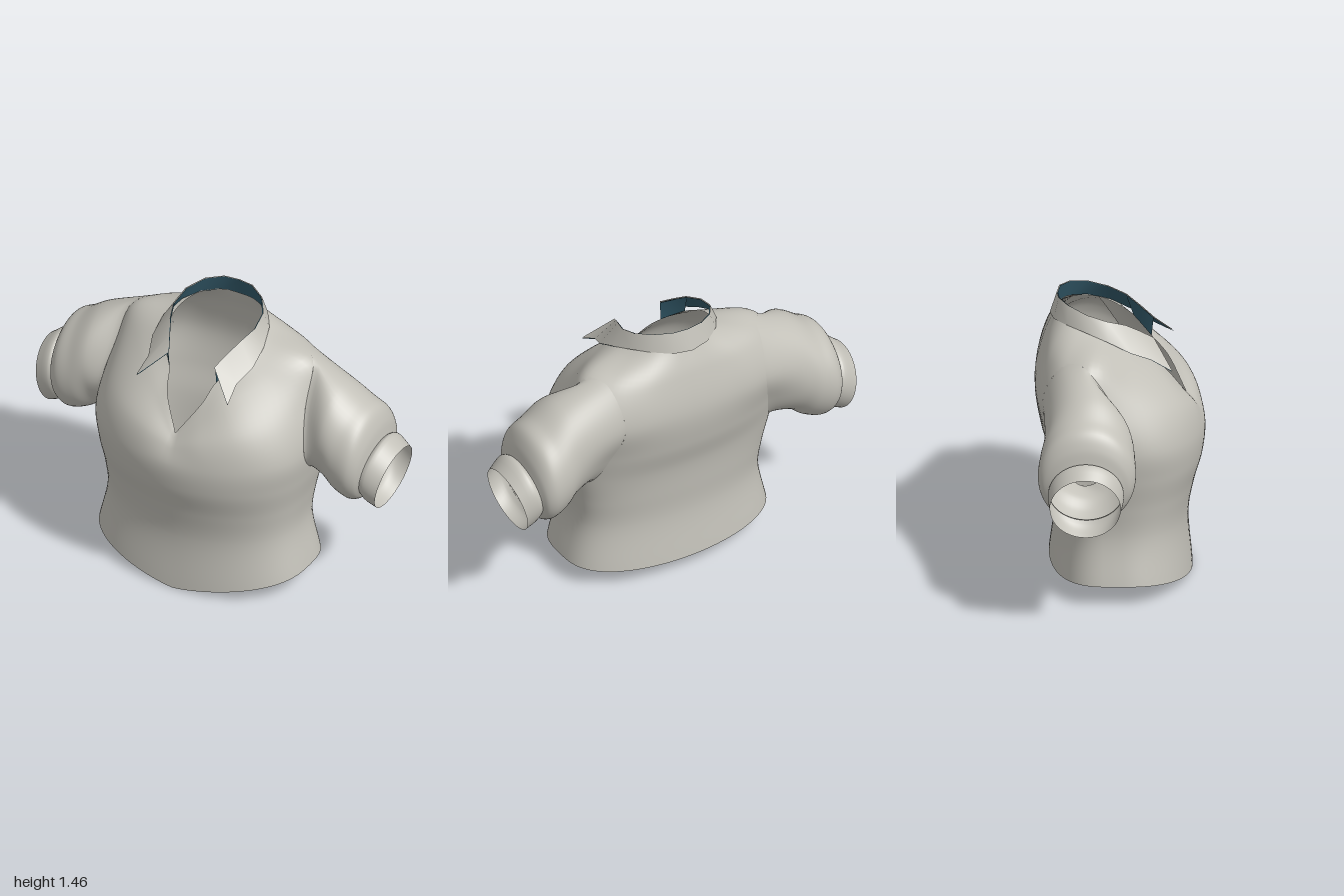
import * as THREE from 'three';

const V = (x, y, z) => new THREE.Vector3(x, y, z);
const spline = (pts) => new THREE.CatmullRomCurve3(pts);

// Surface through rows of points; closed joins the last column to the first
function loft(rows, { closed = true, flip = false, skip = null } = {}) {
  const n = rows[0].length, pos = [], idx = [];
  rows.forEach((r) => r.forEach((p) => pos.push(p.x, p.y, p.z)));
  for (let i = 0; i < rows.length - 1; i++) {
    for (let j = 0; j < (closed ? n : n - 1); j++) {
      const k = (j + 1) % n;
      if (skip && skip(i, j, k)) continue;
      const a = i * n + j, b = i * n + k, c = a + n, d = b + n;
      if (flip) idx.push(a, c, b, b, c, d);
      else idx.push(a, b, c, b, d, c);
    }
  }
  const g = new THREE.BufferGeometry();
  g.setAttribute('position', new THREE.Float32BufferAttribute(pos, 3));
  g.setIndex(idx);
  g.computeVertexNormals();
  return g;
}

// Body ring: half width, y at side / front / back, z at front / back, z at side
function bodyRing(w, ys, yf, yb, zf, zb, c) {
  return (t) => {
    const s = Math.sin(t), k = Math.cos(t), a = Math.abs(s);
    const y = k > 0 ? ys + (yf - ys) * (1 - a ** 1.2) : ys + (yb - ys) * k * k;
    const z = k > 0 ? c + (zf - c) * k ** 0.74 : c - (c - zb) * (-k) ** 0.67;
    return V(w * s, y, z);
  };
}

// Ring from a half outline running front to back, mirrored to the other side
function mirroredRing(pts) {
  const curve = spline(pts.map((p) => V(...p)));
  return (t) => {
    const left = t <= Math.PI;
    const p = curve.getPoint((left ? t : 2 * Math.PI - t) / Math.PI);
    return left ? p : V(-p.x, p.y, p.z);
  };
}

const BODY = [
  bodyRing(0.57, 0.11, 0.0, 0.085, 0.36, -0.35, -0.02),
  bodyRing(0.525, 0.34, 0.3, 0.34, 0.34, -0.32, -0.03),
  bodyRing(0.54, 0.5, 0.48, 0.5, 0.37, -0.33, -0.05),
  bodyRing(0.572, 0.66, 0.64, 0.66, 0.413, -0.35, -0.07),
  bodyRing(0.59, 0.82, 0.78, 0.82, 0.42, -0.395, -0.08),
  // upper chest
  mirroredRing([[0, 0.86, 0.385], [0.16, 0.92, 0.37], [0.34, 0.97, 0.295], [0.49, 1.0, 0.13],
    [0.57, 1.05, -0.13], [0.52, 1.02, -0.32], [0.36, 1.02, -0.39], [0.18, 1.02, -0.413], [0, 1.02, -0.42]]),
  // shoulder line
  mirroredRing([[0, 0.9, 0.35], [0.12, 1.02, 0.285], [0.22, 1.11, 0.21], [0.38, 1.18, 0.05],
    [0.505, 1.243, -0.13], [0.44, 1.23, -0.27], [0.3, 1.22, -0.345], [0.15, 1.22, -0.37], [0, 1.23, -0.375]]),
  // neck edge with the pointed front opening
  mirroredRing([[0, 0.92, 0.33], [0.1, 1.08, 0.235], [0.132, 1.165, 0.155], [0.215, 1.24, 0.065],
    [0.238, 1.315, -0.07], [0.217, 1.345, -0.18], [0.16, 1.365, -0.26], [0.08, 1.367, -0.31], [0, 1.365, -0.32]]),
];
const bodyColumn = (t) => spline(BODY.map((ring) => ring(t)));

// Armhole: an ellipse in angle t round the body and height v along the rings
const HOLE = { t: 1.81, rt: 0.45, v: 4.52, rv: 1.6 };

function torsoGeometry() {
  const cols = 96, steps = 56, top = BODY.length - 1, inside = [];
  const rows = Array.from({ length: steps + 1 }, () => []);
  for (let i = 0; i <= steps; i++) inside.push([]);
  for (let j = 0; j < cols; j++) {
    const t = (j / cols) * Math.PI * 2, centre = t < Math.PI ? HOLE.t : 2 * Math.PI - HOLE.t;
    const column = bodyColumn(t);
    for (let i = 0; i <= steps; i++) {
      const dt = t - centre, dv = (i / steps) * top - HOLE.v;
      const r = Math.hypot(dt / HOLE.rt, dv / HOLE.rv);
      inside[i][j] = r < 1;
      // points in the armhole move out to its rim
      rows[i][j] = r < 1 && r > 0
        ? bodyColumn(centre + dt / r).getPoint((HOLE.v + dv / r) / top)
        : column.getPoint(i / steps);
    }
  }
  const skip = (i, j, k) => inside[i][j] && inside[i][k] && inside[i + 1][j] && inside[i + 1][k];
  return loft(rows, { skip });
}

// Point at angle a round the left armhole; r above 1 lies on the body outside it
function armholePoint(a, r) {
  const v = HOLE.v + HOLE.rv * r * Math.cos(a);
  return bodyColumn(HOLE.t - HOLE.rt * r * Math.sin(a)).getPoint(v / (BODY.length - 1));
}

// Sleeve or cuff from rings: top x, y, bottom x, y, z front, z back.
// A joined tube starts on the armhole rim and leaves the body smoothly.
function tubeGeometry(rings, side, steps, joined) {
  const cols = 56, rows = Array.from({ length: steps + 1 }, () => []);
  for (let j = 0; j < cols; j++) {
    const a = (j / cols) * Math.PI * 2, c = Math.cos(a), s = Math.sin(a);
    const pts = rings.map(([tx, ty, bx, by, zf, zb]) => V(
      (tx + bx) / 2 + (c * (tx - bx)) / 2,
      (ty + by) / 2 + (c * (ty - by)) / 2,
      (zf + zb) / 2 + (s * (zf - zb)) / 2));
    if (joined) pts.unshift(armholePoint(a, 1.1), armholePoint(a, 1));
    const line = spline(pts), start = joined ? 1 / (pts.length - 1) : 0;
    rows.forEach((row, i) => {
      const p = line.getPoint(start + (1 - start) * (i / steps));
      row.push(V(side * p.x, p.y, p.z));
    });
  }
  return loft(rows, { flip: side < 0 });
}

const SLEEVE = [
  [0.68, 1.165, 0.645, 0.625, 0.075, -0.365],
  [0.78, 1.095, 0.71, 0.575, 0.09, -0.385],
  [0.85, 1.05, 0.79, 0.545, 0.09, -0.39],
  [0.885, 0.98, 0.83, 0.56, 0.065, -0.37],
  [0.9, 0.9, 0.85, 0.59, 0.03, -0.335],
];
const CUFF = [
  [0.895, 0.9, 0.845, 0.59, 0.03, -0.335],
  [0.925, 0.915, 0.87, 0.557, 0.035, -0.34],
  [1.0, 0.86, 0.925, 0.525, 0.02, -0.33],
];

// Turned-down collar, from the left tip round the back to the right tip
function collarGeometry(inset) {
  const lower = [[0.26, 1.14, 0.265], [0.25, 1.197, 0.16], [0.285, 1.245, 0.06], [0.285, 1.3, -0.05],
    [0.25, 1.34, -0.17], [0.19, 1.355, -0.26], [0.1, 1.35, -0.325], [0, 1.345, -0.345]];
  const upper = [[0.13, 1.265, 0.17], [0.165, 1.315, 0.1], [0.2, 1.36, 0.03], [0.23, 1.39, -0.06],
    [0.22, 1.42, -0.16], [0.16, 1.445, -0.25], [0.08, 1.455, -0.3], [0, 1.455, -0.31]];
  const both = (pts) => [
    ...pts.map((p) => V(...p)),
    ...pts.slice(0, -1).reverse().map(([x, y, z]) => V(-x, y, z)),
  ];
  const g = loft([both(lower), both(upper)], { closed: false });
  const p = g.attributes.position, n = g.attributes.normal;
  for (let i = 0; i < p.count; i++) {
    p.setXYZ(i, p.getX(i) - n.getX(i) * inset, p.getY(i) - n.getY(i) * inset, p.getZ(i) - n.getZ(i) * inset);
  }
  return g;
}

// Small stand between the neck edge and the front of the collar
function standGeometry(side) {
  const row = (pts) => pts.map(([x, y, z]) => V(side * x, y, z));
  return loft([
    row([[0.132, 1.165, 0.155], [0.172, 1.202, 0.112], [0.215, 1.24, 0.065]]),
    row([[0.133, 1.26, 0.165], [0.168, 1.305, 0.1], [0.205, 1.345, 0.03]]),
  ], { closed: false, flip: side < 0 });
}

export function createModel() {
  const fabric = new THREE.MeshStandardMaterial({ color: 0xc2c0b8, side: THREE.DoubleSide });
  fabric.name = 'fabric';
  const lining = new THREE.MeshStandardMaterial({ color: 0x335a6a, side: THREE.DoubleSide });
  lining.name = 'collarLining';

  const shirt = new THREE.Group();
  shirt.name = 'shirt';
  const add = (name, geometry, material) => {
    const mesh = new THREE.Mesh(geometry, material);
    mesh.name = name;
    shirt.add(mesh);
  };

  add('torso', torsoGeometry(), fabric);
  for (const [label, side] of [['left', 1], ['right', -1]]) {
    add(label + 'Sleeve', tubeGeometry(SLEEVE, side, 32, true), fabric);
    add(label + 'Cuff', tubeGeometry(CUFF, side, 8, false), fabric);
    add(label + 'CollarStand', standGeometry(side), lining);
  }
  add('collar', collarGeometry(0), fabric);
  add('collarLining', collarGeometry(0.005), lining);
  return shirt;
}
